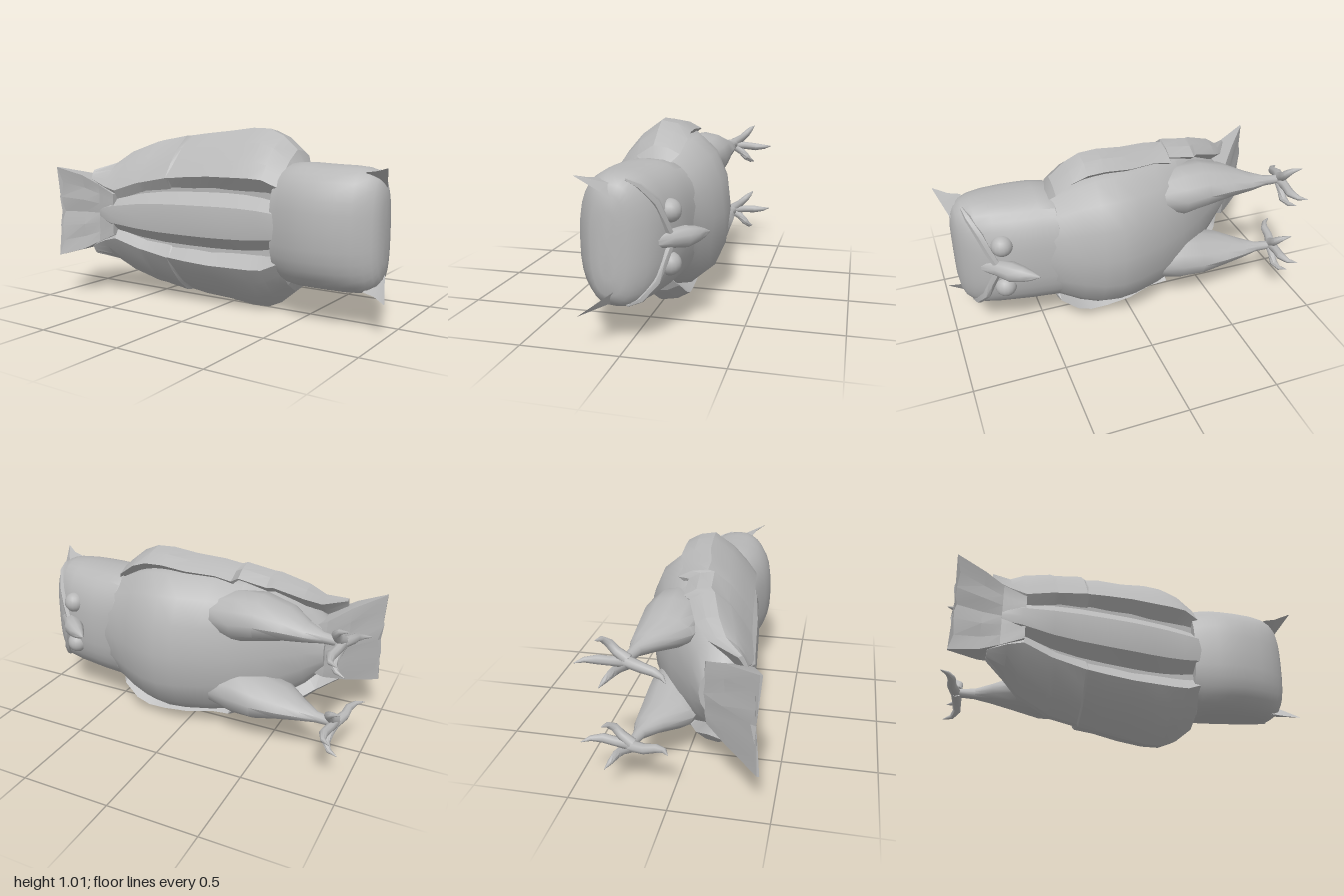
import * as THREE from 'three';
import { toCreasedNormals } from 'three/addons/utils/BufferGeometryUtils.js';

const grey = new THREE.MeshStandardMaterial({ color: 0xb8b8b8 });
grey.name = 'plain grey';

// Closed skin over rings of [x, s, z]; s is the sideways offset, stored as y.
function loft(rings, crease = 0.5) {
  const n = rings[0].length, pos = [], idx = [];
  rings.forEach(r => r.forEach(p => pos.push(...p)));
  for (let i = 0; i < rings.length - 1; i++) {
    for (let j = 0; j < n; j++) {
      const a = i * n + j, b = i * n + (j + 1) % n;
      idx.push(a, b, a + n, b, b + n, a + n);
    }
  }
  [0, rings.length - 1].forEach((k, end) => {
    const c = pos.length / 3;
    pos.push(...[0, 1, 2].map(q => rings[k].reduce((t, p) => t + p[q], 0) / n));
    for (let j = 0; j < n; j++) {
      const a = k * n + j, b = k * n + (j + 1) % n;
      if (end) idx.push(a, b, c); else idx.push(b, a, c);
    }
  });
  // Turn the faces outward whichever way the rings run
  const v = i => new THREE.Vector3().fromArray(pos, i * 3);
  let volume = 0;
  for (let i = 0; i < idx.length; i += 3) volume += v(idx[i]).dot(v(idx[i + 1]).cross(v(idx[i + 2])));
  if (volume < 0) idx.reverse();
  const g = new THREE.BufferGeometry();
  g.setAttribute('position', new THREE.Float32BufferAttribute(pos, 3));
  g.setIndex(idx);
  return toCreasedNormals(g, crease);
}

// Rounded section across x
function oval(x, s, z, rs, rz, power = 2, n = 24) {
  const f = c => Math.sign(c) * Math.abs(c) ** (2 / power);
  return Array.from({ length: n }, (_, i) => {
    const a = i / n * Math.PI * 2;
    return [x, s + rs * f(Math.cos(a)), z + rz * f(Math.sin(a))];
  });
}

// Tapered round limb through [x, s, z, radius] points
function taper(path, n = 8) {
  const p = path.map(q => new THREE.Vector3(q[0], q[1], q[2]));
  return loft(p.map((c, i) => {
    const t = p[Math.min(i + 1, p.length - 1)].clone().sub(p[Math.max(i - 1, 0)]).normalize();
    const u = new THREE.Vector3(0, 1, 0).addScaledVector(t, -t.y).normalize();
    const w = t.clone().cross(u);
    return Array.from({ length: n }, (_, k) => {
      const a = k / n * Math.PI * 2, r = path[i][3];
      return c.clone().addScaledVector(u, r * Math.cos(a)).addScaledVector(w, r * Math.sin(a)).toArray();
    });
  }), 0.9);
}

export function createModel() {
  const owl = new THREE.Group();
  owl.name = 'owl';
  const add = (name, geometry) => {
    const m = new THREE.Mesh(geometry, grey);
    m.name = name;
    m.position.y = 0.5;
    owl.add(m);
    return m;
  };

  // Body: a grooved back and a round belly; x, belly z, back z, half width
  const half = [[0, 1], [0.2, 0.97], [0.36, 0.74], [0.6, 0.75], [0.93, 0.35], [1, 0],
    [0.95, -0.4], [0.74, -0.74], [0.42, -0.93], [0, -1]];
  const outline = [...half, ...half.slice(1, -1).reverse().map(([s, z]) => [-s, z])];
  add('body', loft([
    [-0.72, 0.1, 0.345, 0.13], [-0.62, 0.03, 0.37, 0.24], [-0.45, -0.11, 0.345, 0.35],
    [-0.3, -0.21, 0.33, 0.4], [-0.15, -0.28, 0.315, 0.42], [0, -0.33, 0.3, 0.43],
    [0.1, -0.345, 0.285, 0.43], [0.2, -0.33, 0.27, 0.42], [0.3, -0.295, 0.255, 0.39],
    [0.4, -0.255, 0.245, 0.34], [0.48, -0.225, 0.22, 0.3],
  ].map(([x, lo, hi, w]) =>
    outline.map(([s, z]) => [x, s * w, (lo + hi) / 2 + z * (hi - lo) / 2])), 0.6));

  // Head: broad, with a blunt crown
  add('head', loft([
    [0.37, -0.2, 0.235, 0.3], [0.42, -0.235, 0.25, 0.325], [0.5, -0.22, 0.275, 0.33],
    [0.57, -0.215, 0.287, 0.328], [0.65, -0.2, 0.29, 0.326], [0.75, -0.175, 0.275, 0.325],
    [0.83, -0.145, 0.245, 0.32], [0.88, -0.105, 0.21, 0.307], [0.915, -0.06, 0.18, 0.28],
    [0.935, -0.02, 0.155, 0.24], [0.945, 0.03, 0.11, 0.16],
  ].map(([x, lo, hi, w]) => oval(x, 0, (lo + hi) / 2, w, (hi - lo) / 2, 2.6, 32)), 0.7));

  // Hooked beak
  add('beak', taper([[0.82, 0, -0.12, 0.03], [0.75, 0, -0.17, 0.045], [0.69, 0, -0.23, 0.055],
    [0.64, 0, -0.27, 0.042], [0.6, 0, -0.3, 0.025], [0.565, 0, -0.325, 0.003]], 10));

  // Tail: a wedge fanning out to a thin, folded edge
  const fan = [-1, -0.66, -0.33, 0, 0.33, 0.66, 1];
  add('tail', loft([
    [-0.6, 0.12, 0.1, 0.36, 0], [-0.72, 0.17, 0.13, 0.345, 0.01],
    [-0.82, 0.22, 0.24, 0.365, 0.02], [-0.96, 0.265, 0.4, 0.412, 0.03],
  ].map(([x, w, lo, hi, fold]) => {
    const notch = (f, i) => x - (x < -0.9 ? (i % 2 ? -0.012 : 0.01) : 0);
    const lift = (f, i) => Math.abs(f) * fold * 0.8 - (i % 2 ? fold * 0.5 : 0);
    return [...fan.map((f, i) => [notch(f, i), f * w, hi + lift(f, i)]),
      ...fan.map((f, i) => [notch(f, i), f * w, lo + lift(f, i)]).reverse()];
  }), 0.2));

  for (const m of [1, -1]) {
    const side = m > 0 ? 'upper' : 'lower';
    const flip = path => path.map(([x, s, z, r]) => [x, s * m, z, r]);

    // Folded wing: x, ridge s, ridge z, outermost s, free edge z
    add(side + 'Wing', loft([
      [0.45, 0.27, 0.1, 0.3, -0.08], [0.41, 0.2, 0.21, 0.39, -0.135], [0.32, 0.24, 0.235, 0.465, -0.155],
      [0.24, 0.245, 0.245, 0.5, -0.155], [0.14, 0.245, 0.255, 0.503, -0.15], [0, 0.245, 0.27, 0.485, -0.145],
      [-0.15, 0.235, 0.285, 0.468, -0.1], [-0.25, 0.225, 0.295, 0.455, -0.105], [-0.265, 0.225, 0.297, 0.453, -0.045],
      [-0.42, 0.195, 0.315, 0.425, -0.035], [-0.45, 0.19, 0.32, 0.415, 0], [-0.6, 0.14, 0.35, 0.355, 0.06],
      [-0.68, 0.16, 0.35, 0.29, 0.14], [-0.78, 0.2, 0.345, 0.25, 0.3],
    ].map(([x, sr, zr, so, ze]) => {
      const h = zr - ze, w = so - sr;
      return [[sr - Math.min(0.09, w * 0.45), zr - h * 0.17], [sr, zr], [sr + w * 0.33, zr - h * 0.14],
        [sr + w * 0.7, zr - h * 0.34], [so, zr - h * 0.6], [so - w * 0.06, zr - h * 0.82],
        [so - w * 0.22, ze], [sr + w * 0.2, zr - h * 0.55]].map(([s, z]) => [x, s * m, z]);
    }), 0.35));

    // Feathered thigh
    add(side + 'Thigh', loft([
      [-0.15, 0.22, -0.09, 0.1, 0.13], [-0.3, 0.22, -0.09, 0.14, 0.16], [-0.43, 0.235, -0.09, 0.125, 0.165],
      [-0.58, 0.235, -0.1, 0.085, 0.145], [-0.7, 0.23, -0.155, 0.05, 0.08], [-0.79, 0.23, -0.185, 0.03, 0.03],
      [-0.86, 0.23, -0.195, 0.025, 0.025], [-0.91, 0.23, -0.195, 0.025, 0.03],
    ].map(([x, s, z, rs, rz]) => oval(x, s * m, z, rs, rz, 2, 12)), 0.7));

    // Clawed toes: three forward, one back
    const toes = [
      [[-0.89, 0.225, -0.19, 0.03], [-0.885, 0.22, -0.27, 0.024], [-0.875, 0.215, -0.34, 0.024],
        [-0.89, 0.215, -0.4, 0.014], [-0.93, 0.215, -0.435, 0.002]],
      [[-0.89, 0.235, -0.19, 0.03], [-0.88, 0.27, -0.245, 0.024], [-0.875, 0.305, -0.28, 0.022],
        [-0.9, 0.335, -0.305, 0.014], [-0.945, 0.347, -0.32, 0.002]],
      [[-0.89, 0.22, -0.19, 0.03], [-0.88, 0.18, -0.245, 0.024], [-0.875, 0.145, -0.28, 0.022],
        [-0.9, 0.12, -0.305, 0.014], [-0.945, 0.105, -0.32, 0.002]],
      [[-0.89, 0.23, -0.2, 0.03], [-0.92, 0.22, -0.12, 0.026], [-0.925, 0.205, -0.06, 0.022],
        [-0.95, 0.195, -0.015, 0.013], [-0.99, 0.19, 0.01, 0.002]],
    ];
    toes.forEach((t, i) => add(side + 'Toe' + (i + 1), taper(flip(t))));

    // Eye
    add(side + 'Eye', new THREE.SphereGeometry(0.058, 16, 12)).position.set(0.72, 0.5 + 0.13 * m, -0.165);

    // Brow running from the beak out to the ear
    add(side + 'Brow', taper(flip([[0.76, 0.03, -0.175, 0.02], [0.79, 0.1, -0.155, 0.022],
      [0.82, 0.19, -0.125, 0.024], [0.86, 0.27, -0.06, 0.02], [0.88, 0.3, 0, 0.008]]), 6));

    // Pointed ear tuft
    add(side + 'EarTuft', loft([
      [[0.915, 0.18, -0.01], [0.87, 0.27, 0.02], [0.86, 0.3, 0.14]],
      [[0.955, 0.25, 0.09], [0.93, 0.295, 0.1], [0.925, 0.31, 0.155]],
      [[0.998, 0.327, 0.199], [0.996, 0.329, 0.199], [0.996, 0.33, 0.201]],
    ].map(r => r.map(([x, s, z]) => [x, s * m, z])), 0.3));
  }
  return owl;
}
